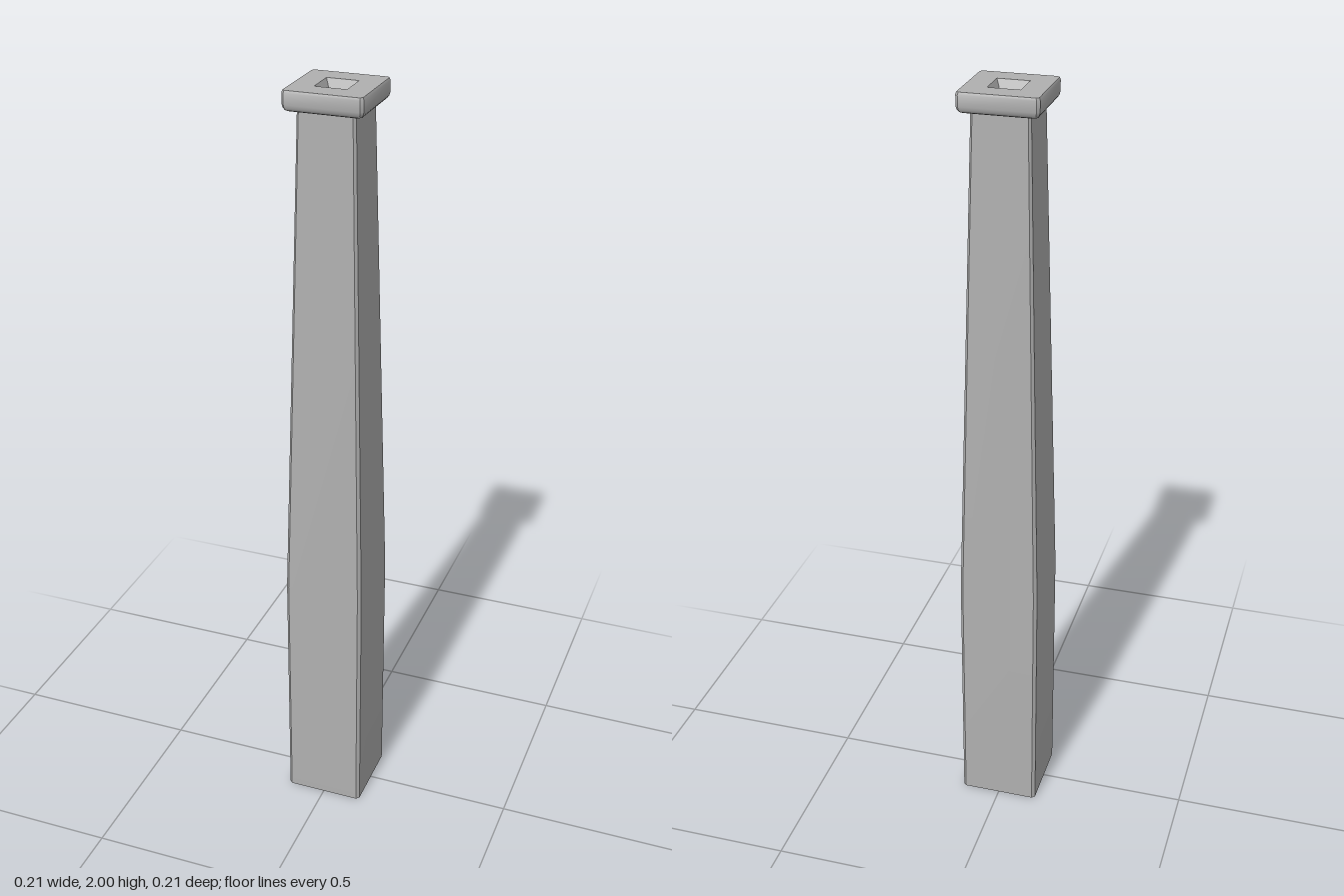
import * as THREE from 'three';
import { toCreasedNormals } from 'three/addons/utils/BufferGeometryUtils.js';

// Square ring of half-width w with corners chamfered by c, at height y
function ring([w, y, c]) {
  const k = w - c;
  return [[w, -k], [w, k], [k, w], [-k, w], [-w, k], [-w, -k], [-k, -w], [k, -w]]
    .map(([x, z]) => new THREE.Vector3(x, y, z));
}

// Skin a list of [halfWidth, y, chamfer] sections, skipping collapsed triangles
function loft(sections) {
  const rings = sections.map(ring);
  const pos = [];
  const tri = (a, b, c) => {
    if (new THREE.Triangle(a, b, c).getArea() > 1e-9) {
      for (const p of [a, b, c]) pos.push(p.x, p.y, p.z);
    }
  };
  for (let r = 0; r < rings.length - 1; r++) {
    for (let i = 0; i < 8; i++) {
      const j = (i + 1) % 8;
      const lo = rings[r], hi = rings[r + 1];
      tri(lo[i], hi[i], lo[j]);
      tri(lo[j], hi[i], hi[j]);
    }
  }
  const geo = new THREE.BufferGeometry();
  geo.setAttribute('position', new THREE.Float32BufferAttribute(pos, 3));
  return toCreasedNormals(geo, 0.6);
}

export function createModel() {
  const group = new THREE.Group();
  group.name = 'chimney';
  const stone = new THREE.MeshStandardMaterial({ color: 0xb0b0b0, side: THREE.DoubleSide });
  stone.name = 'grey stone';

  const add = (name, sections) => {
    const mesh = new THREE.Mesh(loft(sections), stone);
    mesh.name = name;
    group.add(mesh);
  };

  // Straight base and tapering stack, open underneath
  add('shaft', [
    [0.105, 0, 0.008],
    [0.105, 0.67, 0.008],
    [0.072, 1.955, 0.006],
  ]);

  // Rim with rounded underside, flat top and pyramid-shaped flue pit
  add('cap', [
    [0.06, 1.95, 0.004],
    [0.086, 1.95, 0.004],
    [0.093, 1.953, 0.005],
    [0.097, 1.959, 0.006],
    [0.099, 1.967, 0.007],
    [0.099, 1.994, 0.007],
    [0.0965, 2, 0.006],
    [0.04, 2, 0],
    [0, 1.9, 0],
  ]);

  return group;
}
